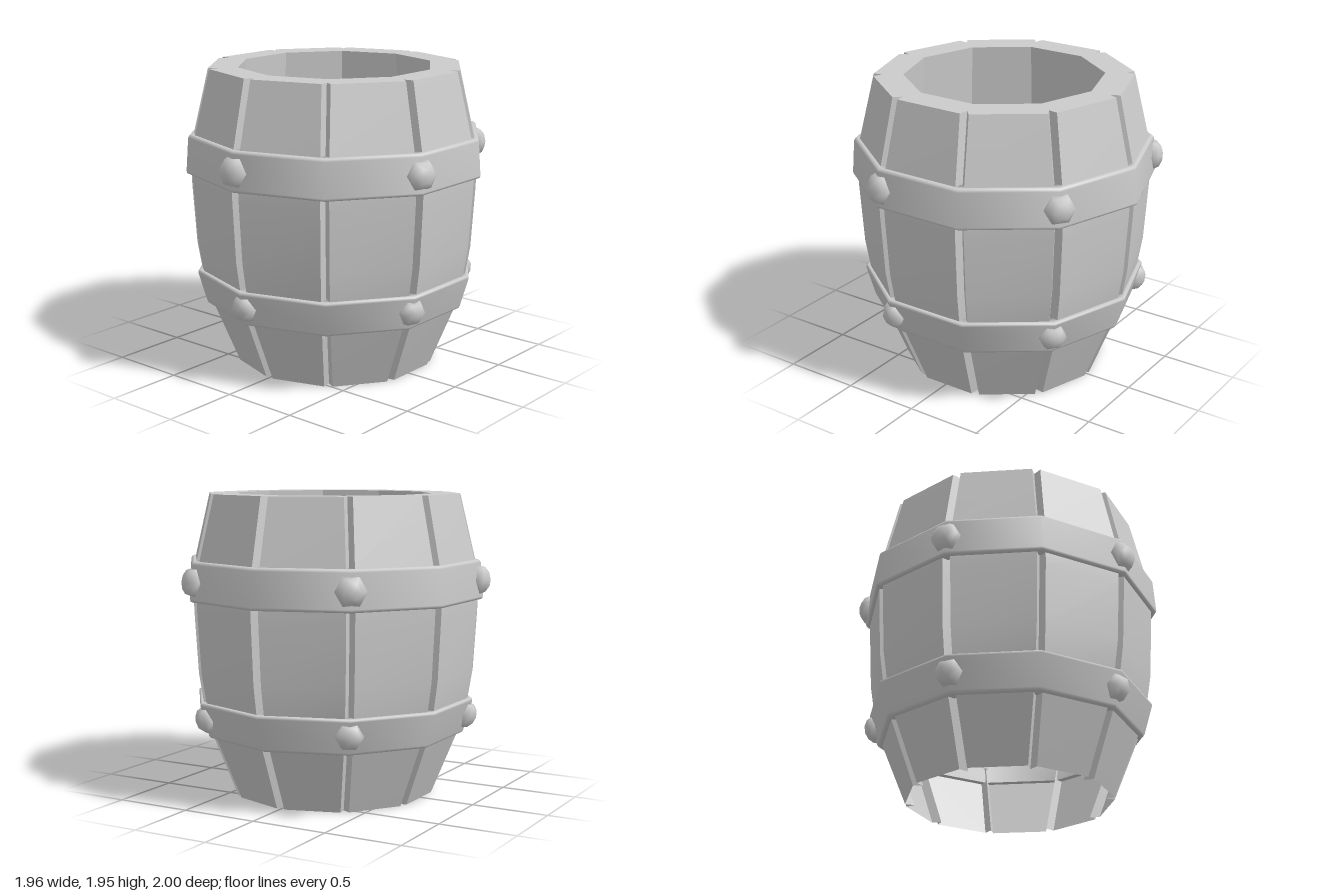
import * as THREE from 'three';
import { mergeGeometries } from 'three/addons/utils/BufferGeometryUtils.js';

const SIDES = 10;
const STEP = (Math.PI * 2) / SIDES;
const TOP = 1.945;
const INNER = 0.635;
const GROOVE_HALF = 0.028;
const GROOVE_DEPTH = 0.065;

const material = new THREE.MeshStandardMaterial({ color: 0xcccccc, side: THREE.DoubleSide });
const flatMaterial = new THREE.MeshStandardMaterial({ color: 0xcccccc, side: THREE.DoubleSide, flatShading: true });

// Corner radius and height of the bulging staves
const PROFILE = [[0.668, 0], [0.83, 0.4], [0.878, 0.53], [0.925, 0.82], [0.948, 1.2], [0.955, 1.4], [0.93, 1.53], [0.83, TOP]];

const polar = (r, a) => new THREE.Vector2(r * Math.sin(a), r * Math.cos(a));

// Ten-sided outline with a V notch at each corner: lip, apex, lip
function outline(r) {
  const pts = [];
  for (let i = 0; i < SIDES; i++) {
    const corner = polar(r, i * STEP);
    const t = GROOVE_HALF / (2 * r * Math.sin(STEP / 2));
    pts.push(corner.clone().lerp(polar(r, (i - 1) * STEP), t));
    pts.push(polar(r - GROOVE_DEPTH, i * STEP));
    pts.push(corner.clone().lerp(polar(r, (i + 1) * STEP), t));
  }
  return pts;
}

// Each strip is smooth along its height and sharp at its sides
function staveGeometry() {
  const rings = PROFILE.map(([r]) => outline(r));
  const strips = [];
  const count = rings[0].length;
  for (let c = 0; c < count; c++) {
    const positions = [];
    const index = [];
    rings.forEach((ring, row) => {
      for (const p of [ring[c], ring[(c + 1) % count]]) positions.push(p.x, PROFILE[row][1], p.y);
      const k = row * 2;
      if (row) index.push(k - 2, k - 1, k + 1, k - 2, k + 1, k);
    });
    const g = new THREE.BufferGeometry();
    g.setAttribute('position', new THREE.Float32BufferAttribute(positions, 3));
    g.setIndex(index);
    g.computeVertexNormals();
    strips.push(g);
  }
  return mergeGeometries(strips);
}

// Closed hoop with softened edges, following the slope of the staves
function bandGeometry(rLow, yLow, rHigh, yHigh, thickness) {
  const s = (rHigh - rLow) / (yHigh - yLow);
  const at = (y, inset) => new THREE.Vector2(rLow + s * (y - yLow) - inset, y);
  const e = 0.02;
  return new THREE.LatheGeometry([
    at(yLow, thickness), at(yLow, e), at(yLow + 0.006, 0.006), at(yLow + e, 0),
    at(yHigh - e, 0), at(yHigh - 0.006, 0.006), at(yHigh, e),
    at(yHigh, thickness), at(yLow, thickness),
  ], SIDES);
}

export function createModel() {
  const model = new THREE.Group();
  const add = (name, geometry, mat = material, parent = model) => {
    const mesh = new THREE.Mesh(geometry, mat);
    mesh.name = name;
    parent.add(mesh);
    return mesh;
  };

  // Grooved outer wall
  add('staves', staveGeometry());

  // Flat top rim with notched outer edge
  const rimShape = new THREE.Shape(outline(PROFILE[PROFILE.length - 1][0]));
  const hole = Array.from({ length: SIDES }, (_, i) => polar(INNER, i * STEP));
  rimShape.holes.push(new THREE.Path(hole));
  add('rim', new THREE.ShapeGeometry(rimShape).rotateX(-Math.PI / 2)).position.y = TOP;

  // Inner wall, open below
  const depth = 1.05;
  const inner = new THREE.CylinderGeometry(INNER, 0.71, depth, SIDES, 1, true);
  add('innerWall', inner, flatMaterial).position.y = TOP - depth / 2;

  // Hoops
  add('lowerBand', bandGeometry(0.858, 0.4, 0.925, 0.635, 0.075));
  add('upperBand', bandGeometry(0.979, 1.275, 0.96, 1.53, 0.075));

  // Domed rivets on every other corner
  const rivetRows = [
    { name: 'lowerRivet', y: 0.523, r: 0.878, size: 0.09, tilt: 0.27 },
    { name: 'upperRivet', y: 1.4, r: 0.955, size: 0.1, tilt: -0.07 },
  ];
  const dome = new THREE.SphereGeometry(1, 6, 6).rotateX(Math.PI / 2).rotateZ(Math.PI / 2);
  dome.rotateZ(Math.PI / 2);
  for (const { name, y, r, size, tilt } of rivetRows) {
    for (let i = 0; i < SIDES; i += 2) {
      const pivot = new THREE.Group();
      pivot.rotation.y = i * STEP;
      model.add(pivot);
      const rivet = add(name, dome, material, pivot);
      rivet.position.set(0, y, r);
      rivet.rotation.x = tilt;
      rivet.scale.set(size, size, 0.07);
    }
  }

  // Front rivets stick out, so the barrel axis sits slightly back
  model.position.z = -0.025;
  return model;
}
